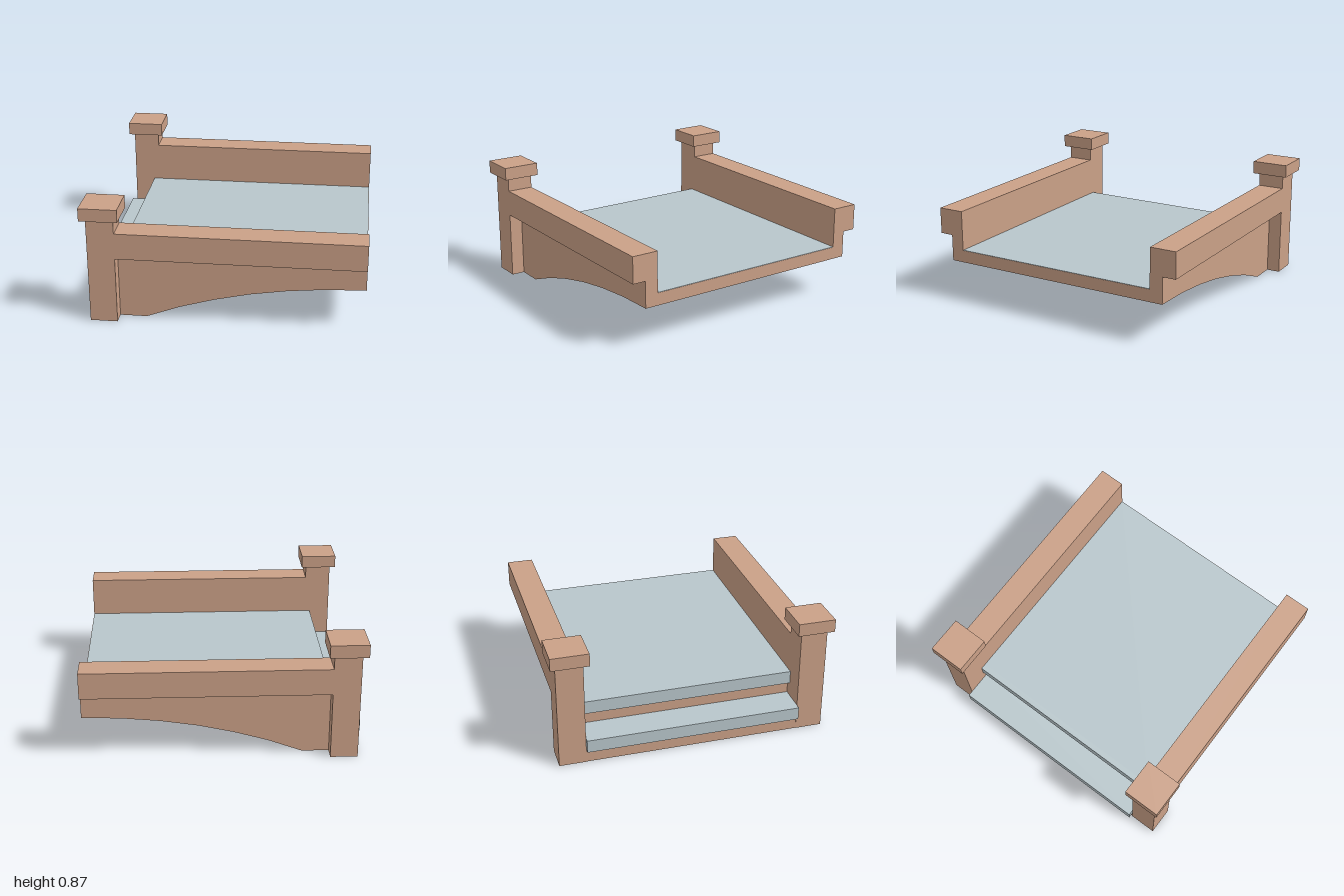
import * as THREE from 'three';

export function createModel() {
  const model = new THREE.Group();
  model.name = 'bridgeEnd';

  const clay = new THREE.MeshStandardMaterial({ color: 0xcaa087 });
  clay.name = 'clay stone';
  const slate = new THREE.MeshStandardMaterial({ color: 0xb8c6cb });
  slate.name = 'pale slate';

  // Box given by its extents along each axis
  function box(name, material, [x0, x1], [y0, y1], [z0, z1], parent = model) {
    const mesh = new THREE.Mesh(new THREE.BoxGeometry(x1 - x0, y1 - y0, z1 - z0), material);
    mesh.position.set((x0 + x1) / 2, (y0 + y1) / 2, (z0 + z1) / 2);
    mesh.name = name;
    parent.add(mesh);
  }

  // Body: stepped at the back end, with a faceted half arch underneath
  const profile = [
    [-0.94, 0], [-0.56, 0],
    [-0.32, 0.09], [-0.08, 0.16], [0.17, 0.217], [0.43, 0.258], [0.7, 0.284], [0.975, 0.293],
    [0.975, 0.382], [-0.75, 0.382], [-0.75, 0.1], [-0.94, 0.1],
  ];
  const shape = new THREE.Shape(profile.map(([x, y]) => new THREE.Vector2(x, y)));
  const bodyGeometry = new THREE.ExtrudeGeometry(shape, { depth: 1.73, bevelEnabled: false });
  bodyGeometry.translate(0, 0, -0.865);
  const body = new THREE.Mesh(bodyGeometry, clay);
  body.name = 'archBody';
  model.add(body);

  // Walking surfaces: deck slab and the lower step, both overhanging their risers
  box('deckLip', slate, [-0.79, -0.75], [0.29, 0.385], [-0.77, 0.77]);
  box('deckSurface', slate, [-0.75, 0.973], [0.38, 0.385], [-0.77, 0.77]);
  box('stepSlab', slate, [-0.98, -0.75], [0.1, 0.193], [-0.77, 0.77]);

  // Parapet, post and cap on each side
  for (const side of [1, -1]) {
    const railing = new THREE.Group();
    railing.name = side > 0 ? 'frontRailing' : 'backRailing';
    const span = (a, b) => (side > 0 ? [a, b] : [-b, -a]);
    box('parapetBase', clay, [-0.75, 0.975], [0.38, 0.485], span(0.77, 0.865), railing);
    box('parapet', clay, [-0.75, 0.975], [0.485, 0.675], span(0.77, 0.962), railing);
    box('post', clay, [-0.942, -0.75], [0, 0.775], span(0.77, 0.962), railing);
    box('postCap', clay, [-0.98, -0.713], [0.775, 0.868], span(0.733, 1), railing);
    model.add(railing);
  }

  return model;
}
